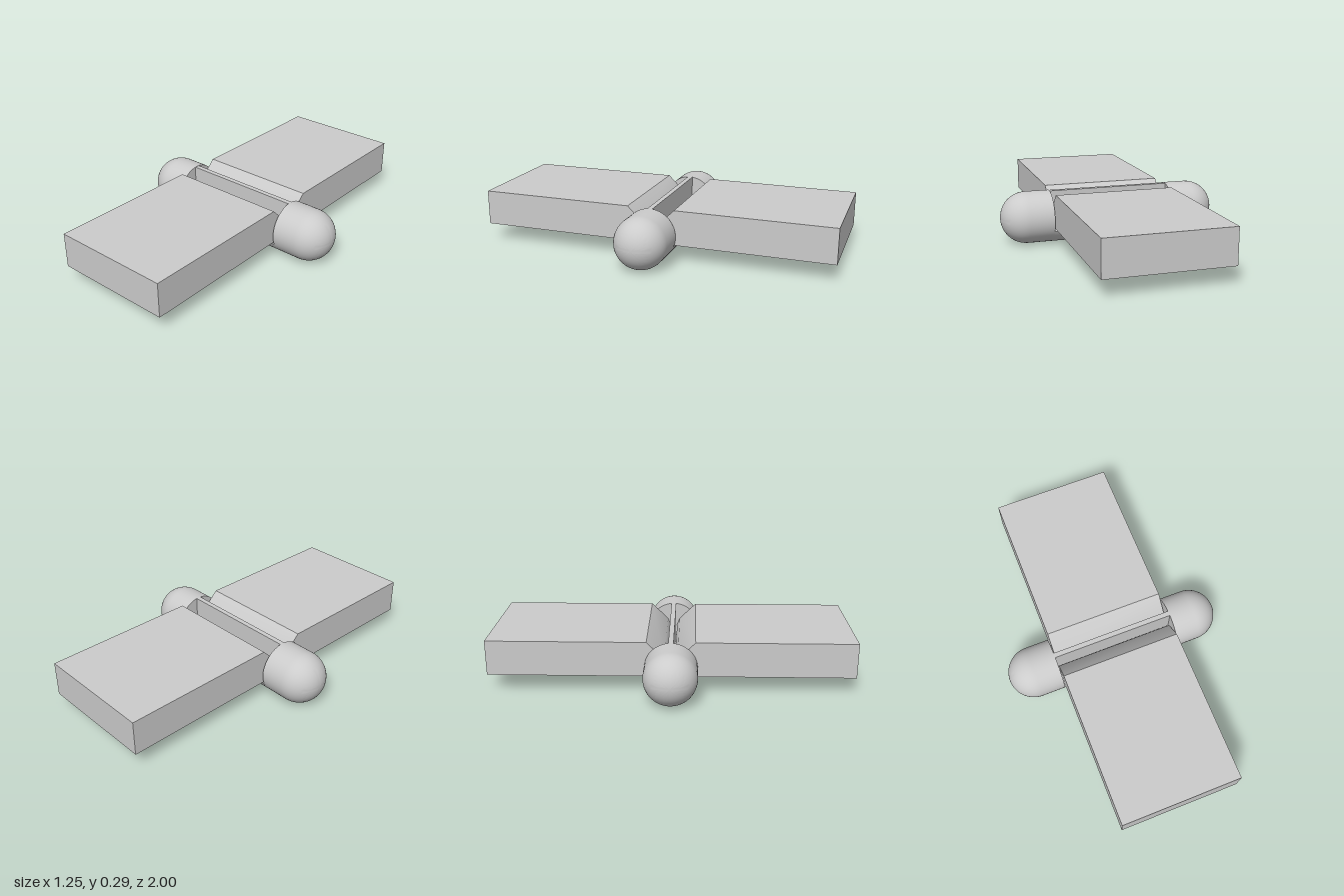
import * as THREE from 'three';
import { toCreasedNormals } from 'three/addons/utils/BufferGeometryUtils.js';

const R = 0.145;        // capsule radius, also the height of its axis
const POCKET = 0.345;   // half width of the pockets cut in the capsule
const FLOOR = 0.085;    // pocket floor height
const WEB = 0.014;      // half thickness of the wall between the pockets
const BOARD = 0.338;    // half width of the leaves
const material = new THREE.MeshStandardMaterial({ color: 0xcccccc });

function mesh(name, geometry) {
  const m = new THREE.Mesh(geometry, material);
  m.name = name;
  return m;
}

// Extrudes a (z, y) profile along x, centred on x = 0
function extrudeAlongX(shape, halfWidth) {
  const g = new THREE.ExtrudeGeometry(shape, { depth: 2 * halfWidth, bevelEnabled: false, curveSegments: 48 });
  g.translate(0, 0, -halfWidth);
  g.rotateY(-Math.PI / 2); // profile x becomes z
  return toCreasedNormals(g, 0.5);
}

export function createModel() {
  const group = new THREE.Group();

  // Middle of the capsule: rounded floor with an upright web
  const a = Math.asin((R - FLOOR) / R);
  const webTop = R + Math.sqrt(R * R - WEB * WEB);
  const body = new THREE.Shape();
  body.absarc(0, R, R, Math.PI + a, 2 * Math.PI - a, false);
  body.lineTo(WEB, FLOOR);
  body.lineTo(WEB, webTop);
  body.lineTo(-WEB, webTop);
  body.lineTo(-WEB, FLOOR);
  body.closePath();
  group.add(mesh('hingeBody', extrudeAlongX(body, POCKET)));

  // Round ends of the capsule, closed by a flat inner face
  const capStart = 0.48;
  const profile = [new THREE.Vector2(0, POCKET), new THREE.Vector2(R, POCKET), new THREE.Vector2(R, capStart)];
  for (let i = 1; i <= 16; i++) {
    const t = (i / 16) * Math.PI / 2;
    profile.push(new THREE.Vector2(R * Math.cos(t), capStart + R * Math.sin(t)));
  }
  const capGeometry = toCreasedNormals(new THREE.LatheGeometry(profile, 64), 0.6);
  for (const side of [-1, 1]) {
    const cap = mesh(side > 0 ? 'leftEndCap' : 'rightEndCap', capGeometry);
    cap.rotation.z = -side * Math.PI / 2;
    cap.position.y = R;
    group.add(cap);
  }

  // Leaves with a chamfered hinge edge, and their pivot pins
  const leaf = new THREE.Shape([
    [0.02, 0.095], [1, 0.095], [1, 0.29], [0.132, 0.29], [0.036, 0.195], [0.02, 0.155],
  ].map(([z, y]) => new THREE.Vector2(z, y)));
  const leafGeometry = extrudeAlongX(leaf, BOARD);
  const pinGeometry = new THREE.CylinderGeometry(0.035, 0.035, 0.03, 32);
  pinGeometry.rotateZ(Math.PI / 2);
  for (const end of [1, -1]) {
    const hinge = new THREE.Group();
    hinge.name = end > 0 ? 'frontLeaf' : 'backLeaf';
    hinge.rotation.y = end > 0 ? 0 : Math.PI;
    hinge.add(mesh('leafBoard', leafGeometry));
    for (const side of [-1, 1]) {
      const pin = mesh('pivotPin', pinGeometry);
      pin.position.set(side * (BOARD + POCKET) / 2, R, 0.08);
      hinge.add(pin);
    }
    group.add(hinge);
  }
  return group;
}
